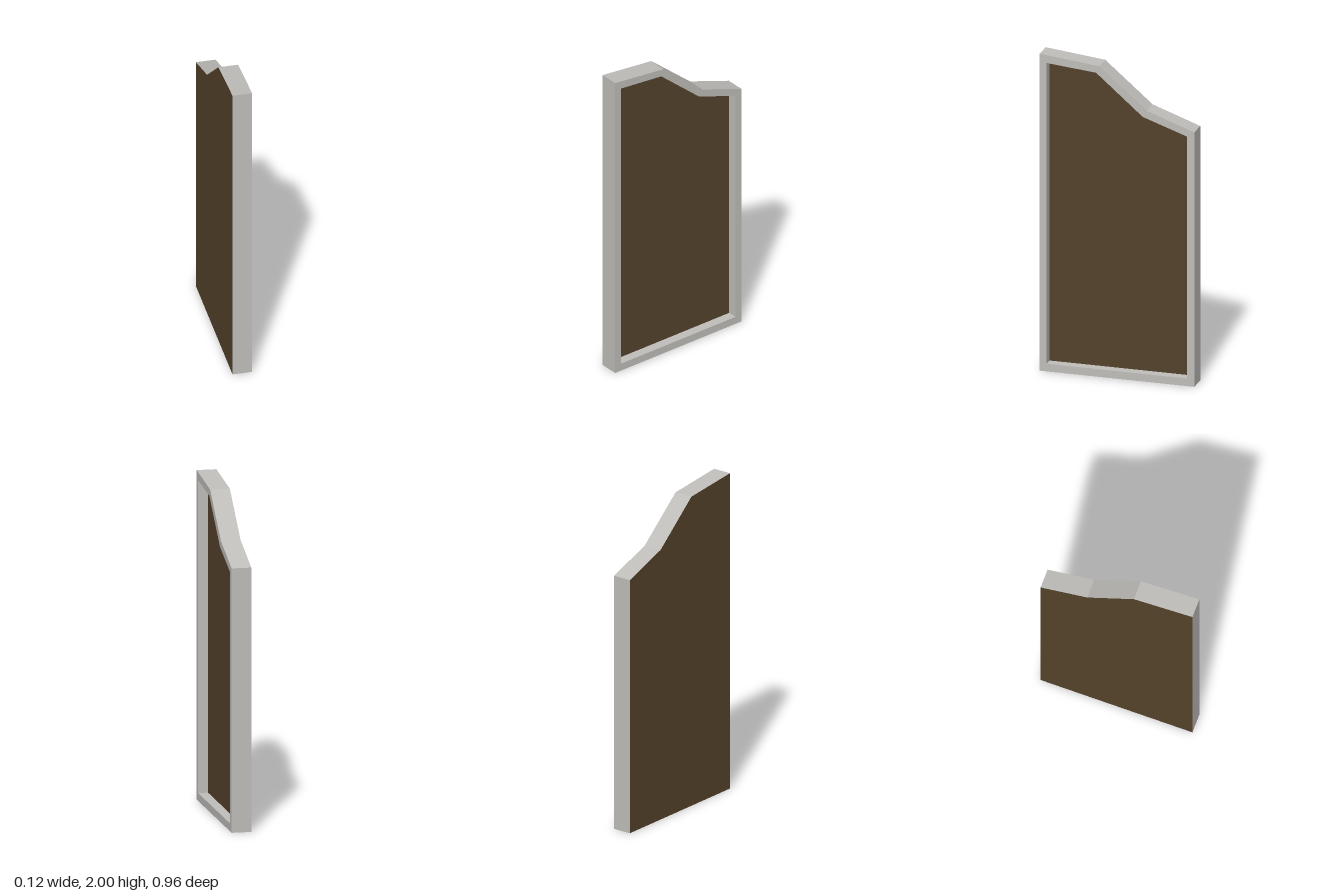
import * as THREE from 'three';

// Profiles as [z, y] points; the opening runs the opposite way round
const OUTER = [[0.48, 0], [0.48, 2], [0.11, 1.96], [-0.185, 1.71], [-0.48, 1.605], [-0.48, 0]];
const INNER = [[-0.435, 0.048], [-0.435, 1.574], [-0.16, 1.669], [0.13, 1.917], [0.437, 1.946], [0.437, 0.048]];
const HALF = 0.06;

const toPoints = (profile) => profile.map(([z, y]) => new THREE.Vector2(-z, y));

// Extrude a profile along +x, starting at x0
function slab(shape, x0, depth) {
  const geometry = new THREE.ExtrudeGeometry(shape, { depth, bevelEnabled: false });
  geometry.rotateY(Math.PI / 2);
  geometry.translate(x0, 0, 0);
  return geometry;
}

export function createModel() {
  const frameGrey = new THREE.MeshStandardMaterial({ color: 0xbfbdb9 });
  frameGrey.name = 'frameGrey';
  const panelBrown = new THREE.MeshStandardMaterial({ color: 0x54422b });
  panelBrown.name = 'panelBrown';

  const group = new THREE.Group();
  group.name = 'steppedPanel';

  // Rear slab: brown faces, grey edges
  const panel = new THREE.Mesh(
    slab(new THREE.Shape(toPoints(OUTER)), -HALF, HALF),
    [panelBrown, frameGrey]
  );
  panel.name = 'panel';

  // Raised rim around the recessed face
  const rimShape = new THREE.Shape(toPoints(OUTER));
  rimShape.holes.push(new THREE.Path(toPoints(INNER)));
  const rim = new THREE.Mesh(slab(rimShape, 0, HALF), frameGrey);
  rim.name = 'rim';

  group.add(panel, rim);
  return group;
}
